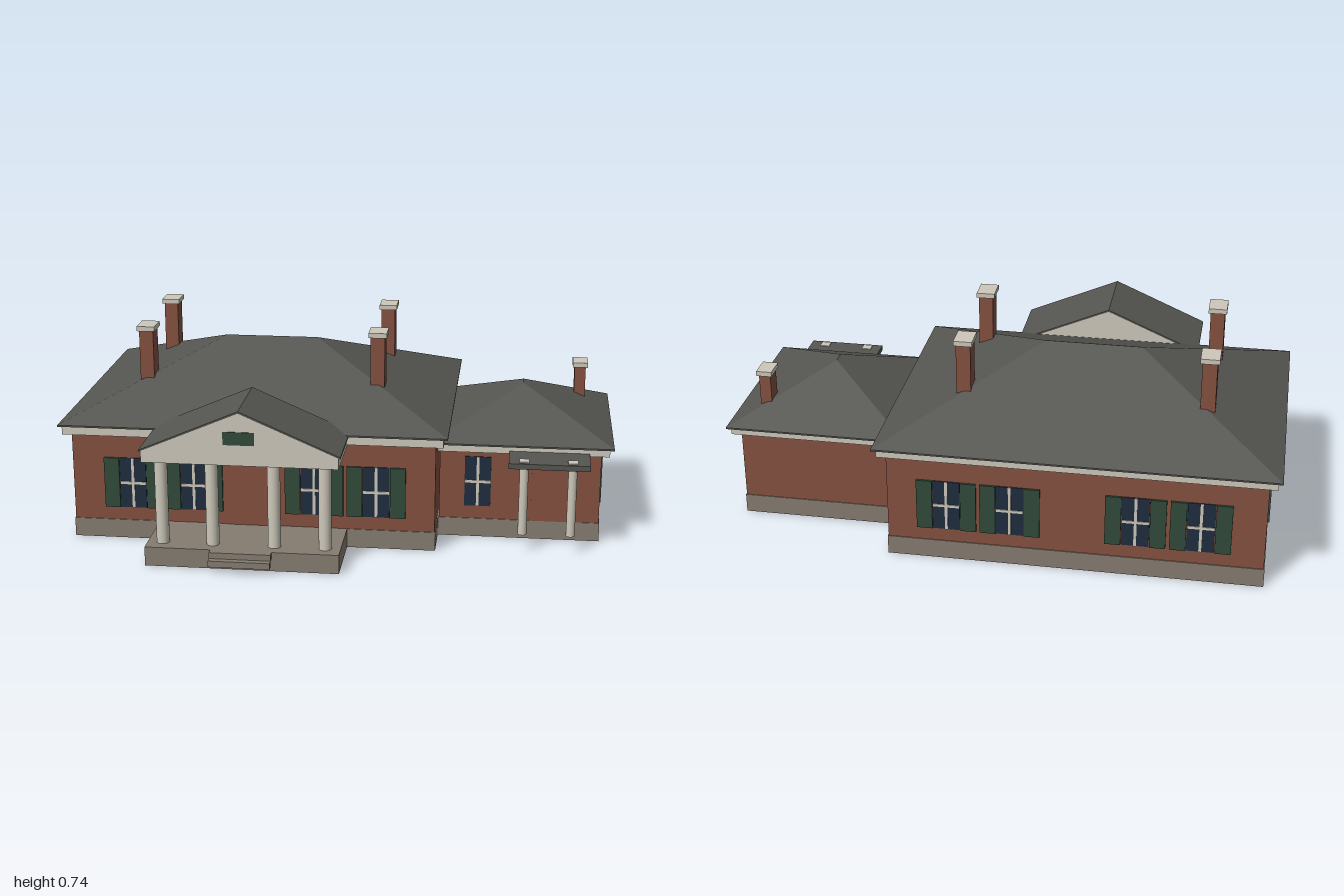
import * as THREE from 'three';

const mat = (name, color) => {
  const m = new THREE.MeshStandardMaterial({ color });
  m.name = name;
  return m;
};

export function createModel() {
  const brick = mat('brick', 0x84503f);
  const stone = mat('foundation stone', 0x857c70);
  const slate = mat('roof slate', 0x555651);
  const trim = mat('cream trim', 0xcdc8ba);
  const green = mat('shutter green', 0x30493a);
  const glass = mat('window glass', 0x1f2d3f);

  const house = new THREE.Group();
  house.name = 'house';

  const add = (name, geo, material, parent = house) => {
    const mesh = new THREE.Mesh(geo, material);
    mesh.name = name;
    parent.add(mesh);
    return mesh;
  };
  // Box given by its limits on each axis
  const box = (name, material, [x0, x1], [y0, y1], [z0, z1], parent) => {
    const geo = new THREE.BoxGeometry(x1 - x0, y1 - y0, z1 - z0);
    geo.translate((x0 + x1) / 2, (y0 + y1) / 2, (z0 + z1) / 2);
    return add(name, geo, material, parent);
  };
  const rect = (T, x0, x1, z0, z1) => new T([
    [x0, -z1], [x1, -z1], [x1, -z0], [x0, -z0],
  ].map(([x, y]) => new THREE.Vector2(x, y)));

  // Rectangular ring of wall, open above and below
  const ring = (name, material, [x0, x1, z0, z1], y0, y1, t, grow = 0) => {
    const [a, b, c, d] = [x0 - grow, x1 + grow, z0 - grow, z1 + grow];
    const s = rect(THREE.Shape, a, b, c, d);
    s.holes.push(rect(THREE.Path, a + t, b - t, c + t, d - t));
    const geo = new THREE.ExtrudeGeometry(s, { depth: y1 - y0, bevelEnabled: false });
    geo.rotateX(-Math.PI / 2).translate(0, y0, 0);
    return add(name, geo, material);
  };

  // Hip roof: each eave corner runs up to its own end of the ridge
  const hipRoof = (name, [x0, x1, z0, z1], y, tops) => {
    const base = [[x0, y, z1], [x1, y, z1], [x1, y, z0], [x0, y, z0]];
    const pos = [];
    for (let i = 0; i < 4; i++) {
      const j = (i + 1) % 4;
      pos.push(...base[i], ...base[j], ...tops[j]);
      if (tops[i] !== tops[j]) pos.push(...base[i], ...tops[j], ...tops[i]);
    }
    const geo = new THREE.BufferGeometry();
    geo.setAttribute('position', new THREE.Float32BufferAttribute(pos, 3));
    geo.computeVertexNormals();
    add(name, geo, slate);
    box(name + 'Edge', slate, [x0, x1], [y - 0.006, y], [z0, z1]);
  };

  // Main block and side wing
  const main = [-0.96, 0.37, -0.62, 0.36];
  const wing = [0.37, 0.96, -0.425, 0.2];
  ring('mainWalls', brick, main, 0.002, 0.41, 0.006, -0.003);
  ring('mainFoundation', stone, main, 0, 0.07, 0.004);
  ring('mainFascia', trim, main, 0.4, 0.43, 0.035, 0.025);
  ring('wingWalls', brick, wing, 0.002, 0.345, 0.006, -0.003);
  ring('wingFoundation', stone, wing, 0, 0.07, 0.004);
  ring('wingFascia', trim, wing, 0.335, 0.362, 0.035, 0.025);

  const rl = [-0.47, 0.653, -0.135], rr = [-0.12, 0.653, -0.135];
  hipRoof('mainRoof', [-1, 0.41, -0.66, 0.39], 0.436, [rl, rr, rr, rl]);
  const wf = [0.667, 0.513, -0.088], wb = [0.667, 0.513, -0.14];
  hipRoof('wingRoof', [0.335, 1, -0.465, 0.235], 0.368, [wf, wf, wb, wb]);

  // Chimneys with caps
  const chimney = (x, z, y0, top, w, d) => {
    const g = new THREE.Group();
    g.name = 'chimney';
    g.position.set(x, 0, z);
    house.add(g);
    box('chimneyStack', brick, [-w / 2, w / 2], [y0, top - 0.018], [-d / 2, d / 2], g);
    const cw = w / 2 + 0.0075, cd = d / 2 + 0.0085;
    box('chimneyCap', trim, [-cw, cw], [top - 0.018, top], [-cd, cd], g);
  };
  for (const x of [-0.725, 0.135])
    for (const z of [0.085, -0.347]) chimney(x, z, 0.53, 0.744, 0.052, 0.075);
  chimney(0.882, -0.307, 0.4, 0.546, 0.042, 0.067);

  // Window facing local +z, with glazing bars and optional shutters
  const windowAt = (x, z, turn, shutters = true) => {
    const g = new THREE.Group();
    g.name = 'window';
    g.position.set(x, 0, z);
    g.rotation.y = turn;
    house.add(g);
    const hw = 0.048, ys = [0.12, 0.31];
    box('pane', glass, [-hw, hw], ys, [-0.004, 0.001], g);
    box('innerPane', glass, [-hw, hw], ys, [-0.012, -0.008], g);
    box('uprightBar', trim, [-0.005, 0.005], ys, [0, 0.004], g);
    box('crossBar', trim, [-hw, hw], [0.21, 0.22], [0, 0.004], g);
    if (shutters) for (const s of [-1, 1])
      box('shutter', green, [s * 0.078 - 0.028, s * 0.078 + 0.028], ys, [-0.003, 0.005], g);
  };
  for (const x of [-0.735, -0.51, -0.07, 0.155]) {
    windowAt(x, main[3], 0);
    windowAt(x, main[2], Math.PI);
  }
  for (const z of [-0.28, 0.06]) windowAt(main[0], z, -Math.PI / 2);
  for (const z of [0.008, -0.228]) windowAt(wing[1], z, Math.PI / 2);
  windowAt(0.513, wing[3], 0, false);

  // Doors
  box('frontDoor', brick, [-0.39, -0.2], [0.07, 0.3], [0.355, 0.361]);
  box('wingDoor', brick, [0.71, 0.9], [0.07, 0.3], [0.195, 0.201]);

  // Portico: floor, steps, columns
  const cx = -0.295;
  box('porticoFloor', stone, [-0.64, 0.05], [0, 0.07], [0.36, 0.612]);
  box('upperStep', stone, [-0.405, -0.187], [0.048, 0.07], [0.612, 0.638]);
  box('lowerStep', stone, [-0.405, -0.187], [0.025, 0.048], [0.636, 0.661]);
  for (const dx of [-0.29, -0.11, 0.11, 0.29]) {
    const col = add('column', new THREE.CylinderGeometry(0.023, 0.023, 0.32, 20), trim);
    col.position.set(cx + dx, 0.23, 0.553);
  }
  // Portico beam, pediment and gable roof
  box('porticoBeam', trim, [-0.64, 0.05], [0.388, 0.43], [0.34, 0.618]);
  const prism = (name, material, pts, z0, z1) => {
    const s = new THREE.Shape(pts.map(([x, y]) => new THREE.Vector2(cx + x, y)));
    const geo = new THREE.ExtrudeGeometry(s, { depth: z1 - z0, bevelEnabled: false });
    return add(name, geo.translate(0, 0, z0), material);
  };
  prism('pediment', trim, [[-0.345, 0.43], [0.345, 0.43], [0, 0.579]], 0.328, 0.618);
  prism('porticoRoof', slate, [
    [-0.352, 0.427], [-0.345, 0.43], [0, 0.578], [0.345, 0.43], [0.352, 0.427], [0.352, 0.433], [0, 0.585], [-0.352, 0.433],
  ], 0.326, 0.622);
  box('pedimentVent', green, [cx - 0.055, cx + 0.055], [0.463, 0.51], [0.616, 0.621]);

  // Small porch at the wing door
  box('porchRoof', slate, [0.625, 0.913], [0.325, 0.345], [0.19, 0.363]);
  for (const x of [0.68, 0.852]) {
    const post = add('porchPost', new THREE.CylinderGeometry(0.016, 0.016, 0.256, 16), trim);
    post.position.set(x, 0.198, 0.333);
    box('postCap', trim, [x - 0.018, x + 0.018], [0.32, 0.349], [0.315, 0.351]);
  }
  return house;
}
